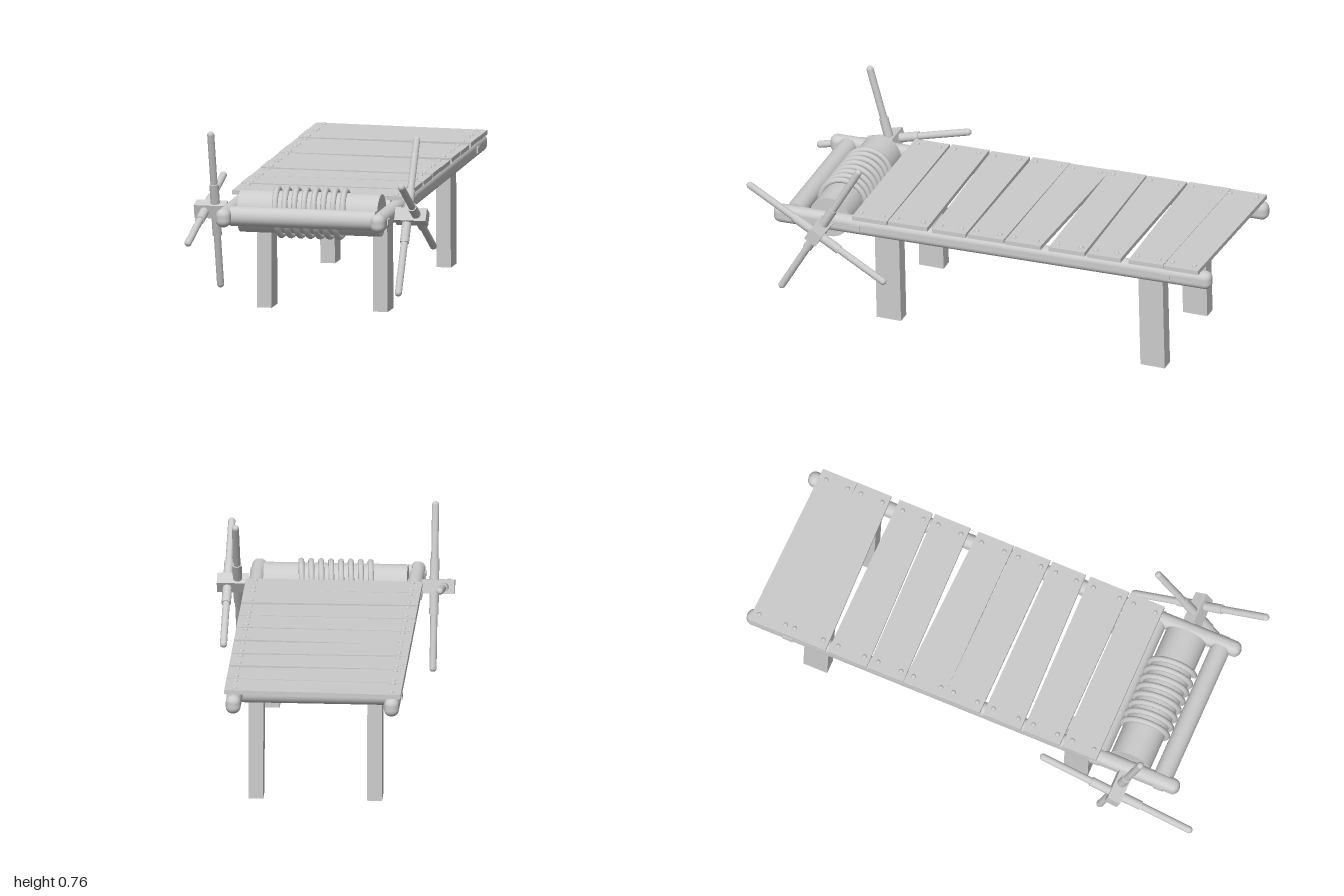
import * as THREE from 'three';
import { RoundedBoxGeometry } from 'three/addons/geometries/RoundedBoxGeometry.js';

const material = new THREE.MeshStandardMaterial({ color: 0xcccccc });

function add(parent, name, geometry, x = 0, y = 0, z = 0) {
  const mesh = new THREE.Mesh(geometry, material);
  mesh.name = name;
  mesh.position.set(x, y, z);
  parent.add(mesh);
  return mesh;
}

// Cylinder lying along x
const barGeometry = (radius, length) =>
  new THREE.CylinderGeometry(radius, radius, length, 32).rotateZ(Math.PI / 2);

// Plank with its four corners given as z at the left and right edges
function plankGeometry([a0, a1, b0, b1], half, thickness) {
  const shape = new THREE.Shape([[-half, -a1], [half, -b1], [half, -b0], [-half, -a0]]
    .map(([x, y]) => new THREE.Vector2(x, y)));
  return new THREE.ExtrudeGeometry(shape, { depth: thickness, bevelEnabled: false }).rotateX(-Math.PI / 2);
}

// Sloping frame: rails, crossbars, planks and nails
function createBed() {
  const bed = new THREE.Group();
  bed.name = 'bed';
  bed.position.y = 0.445;
  bed.rotation.x = 0.0225;

  for (const side of [-1, 1]) {
    add(bed, 'sideRail', new RoundedBoxGeometry(0.06, 0.075, 1.89, 5, 0.028), side * 0.32, 0, -0.055);
  }
  for (const z of [0.81, 0.53, -0.81]) {
    add(bed, 'crossbar', barGeometry(0.04, 0.6), 0, 0, z);
    add(bed, 'crossbarTenon', new THREE.BoxGeometry(0.71, 0.024, 0.042), 0, 0, z);
  }

  // Back-to-front plank edges: right side start and end, left side start and end
  const planks = [
    [-0.98, -0.81, -0.955, -0.805], [-0.825, -0.645, -0.803, -0.655],
    [-0.635, -0.465, -0.62, -0.475], [-0.46, -0.305, -0.465, -0.31],
    [-0.305, -0.13, -0.275, -0.12], [-0.13, 0.03, -0.115, 0.04],
    [0.045, 0.21, 0.05, 0.195], [0.22, 0.38, 0.215, 0.385], [0.39, 0.54, 0.39, 0.54],
  ];
  const nail = new THREE.SphereGeometry(0.01, 12, 8);
  planks.forEach((edges, i) => {
    const lift = 0.0365 + (i % 2) * 0.002;
    add(bed, 'plank', plankGeometry(edges, 0.357, 0.018), 0, lift, 0);
    for (const side of [-1, 1]) {
      const [start, end] = side < 0 ? edges.slice(0, 2) : edges.slice(2);
      for (const z of [start + 0.03, end - 0.025]) {
        add(bed, 'nail', nail, side * 0.318, lift + 0.017, z);
      }
    }
  });
  return bed;
}

// Square leg leaning slightly with the frame
function addLeg(parent, x, z, height) {
  const geometry = new THREE.BoxGeometry(0.06, height, 0.105).translate(0, height / 2, 0);
  const p = geometry.attributes.position;
  for (let i = 0; i < p.count; i++) p.setZ(i, p.getZ(i) + 0.0225 * p.getY(i));
  geometry.computeVertexNormals();
  add(parent, 'leg', geometry, x, 0, z);
}

// Roller with rope coils and a crossed pair of handles at each end
function createWindlass() {
  const windlass = new THREE.Group();
  windlass.name = 'windlass';
  windlass.position.set(0, 0.427, 0.663);
  add(windlass, 'roller', barGeometry(0.086, 0.58));
  add(windlass, 'axle', barGeometry(0.027, 0.72));

  class Helix extends THREE.Curve {
    getPoint(t, target = new THREE.Vector3()) {
      const turns = -0.25 + 7.5 * t;
      const angle = turns * Math.PI * 2;
      return target.set(-0.14 + 0.04 * turns, 0.094 * Math.cos(angle), 0.094 * Math.sin(angle));
    }
  }
  const rope = new Helix();
  add(windlass, 'rope', new THREE.TubeGeometry(rope, 260, 0.012, 10));
  for (const t of [0, 1]) {
    add(windlass, 'ropeEnd', new THREE.SphereGeometry(0.012, 12, 8)).position.copy(rope.getPoint(t));
  }

  for (const [side, angle] of [[-1, 0.271], [1, -0.522]]) {
    const wheel = new THREE.Group();
    wheel.name = side > 0 ? 'leftHandles' : 'rightHandles';
    wheel.rotation.x = angle;
    windlass.add(wheel);
    add(wheel, 'squareAxleEnd', new THREE.BoxGeometry(0.13, 0.056, 0.056), side * 0.415, 0, 0);
    [0.397, 0.438].forEach((x, i) => {
      const handle = new THREE.Group();
      handle.name = 'handle';
      handle.position.x = side * x;
      handle.rotation.x = i * Math.PI / 2;
      wheel.add(handle);
      add(handle, 'handleRod', new THREE.CapsuleGeometry(0.0145, 0.661, 6, 16));
      add(handle, 'handleSleeve', new THREE.CylinderGeometry(0.019, 0.019, 0.225, 16));
    });
  }
  return windlass;
}

export function createModel() {
  const model = new THREE.Group();
  model.name = 'windlassTable';
  model.add(createBed(), createWindlass());
  for (const x of [-0.24, 0.24]) {
    addLeg(model, x, 0.415, 0.465);
    addLeg(model, x, -0.724, 0.49);
  }
  return model;
}
